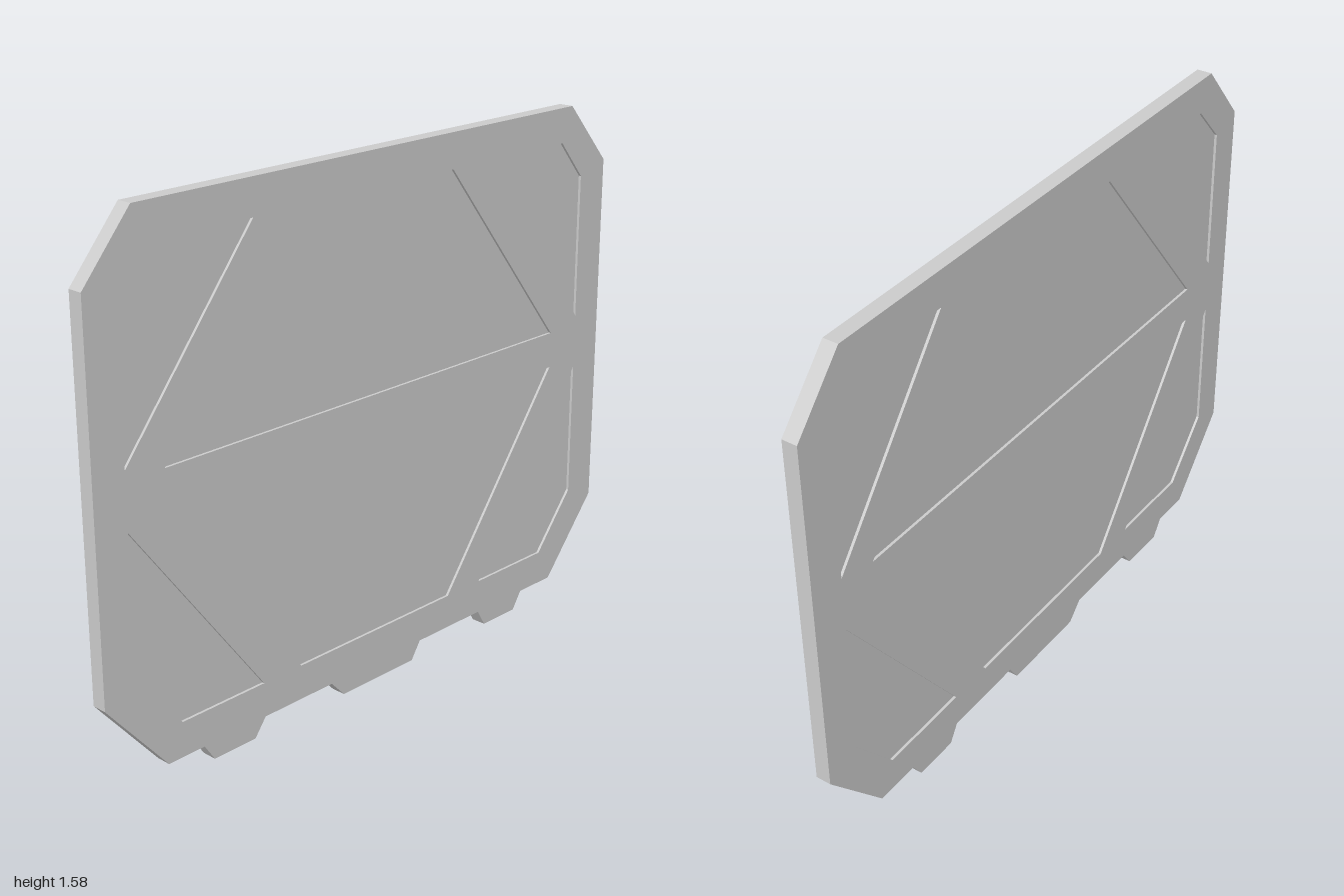
import * as THREE from 'three';

const DEPTH = 0.046;   // thickness of the frame
const RECESS = 0.008;  // how far each panel sits below the frame face

const toPoints = (pts) => pts.map(([x, y]) => new THREE.Vector2(x, y));

// Extrude a shape so that it is centred on z = 0
function slab(shape, depth) {
  const geometry = new THREE.ExtrudeGeometry(shape, { depth, bevelEnabled: false });
  geometry.translate(0, 0, -depth / 2);
  return geometry;
}

export function createModel() {
  const group = new THREE.Group();
  group.name = 'armouredPanel';
  const material = new THREE.MeshStandardMaterial({ color: 0xcccccc, flatShading: true });

  const add = (name, shape, depth) => {
    const mesh = new THREE.Mesh(slab(shape, depth), material);
    mesh.name = name;
    group.add(mesh);
  };

  // Chamfered outline with three tapered feet along the bottom
  const feet = [
    [-0.675, -0.64, -0.49, -0.45],
    [-0.19, -0.14, 0.15, 0.185],
    [0.453, 0.485, 0.625, 0.66],
  ];
  const outline = [[-0.8, 0.053]];
  for (const [a, b, c, d] of feet) outline.push([a, 0.053], [b, 0], [c, 0], [d, 0.053]);
  outline.push([0.8, 0.053], [1, 0.29], [1, 1.395], [0.835, 1.58], [-0.842, 1.58], [-1, 1.395], [-1, 0.29]);

  // Recessed panels: two trapezoids and four corner pieces
  const panels = {
    upperPanel: [[-0.773, 0.89], [0.77, 0.89], [0.305, 1.475], [-0.307, 1.475]],
    lowerPanel: [[-0.773, 0.78], [-0.31, 0.158], [0.31, 0.158], [0.77, 0.78]],
  };
  for (const [side, s] of [['Left', 1], ['Right', -1]]) {
    const edge = s > 0 ? 0.89 : 0.898;
    panels['upperCornerPanel' + side] =
      [[edge, 0.92], [edge, 1.36], [0.793, 1.475], [0.453, 1.475]].map(([x, y]) => [s * x, y]);
    panels['lowerCornerPanel' + side] =
      [[edge, 0.753], [0.452, 0.158], [0.747, 0.158], [edge, 0.333]].map(([x, y]) => [s * x, y]);
  }

  // Frame with an opening for every panel, then the thinner panels inside
  const frame = new THREE.Shape(toPoints(outline));
  for (const pts of Object.values(panels)) frame.holes.push(new THREE.Path(toPoints(pts)));
  add('frame', frame, DEPTH);
  for (const [name, pts] of Object.entries(panels)) {
    add(name, new THREE.Shape(toPoints(pts)), DEPTH - 2 * RECESS);
  }
  return group;
}
